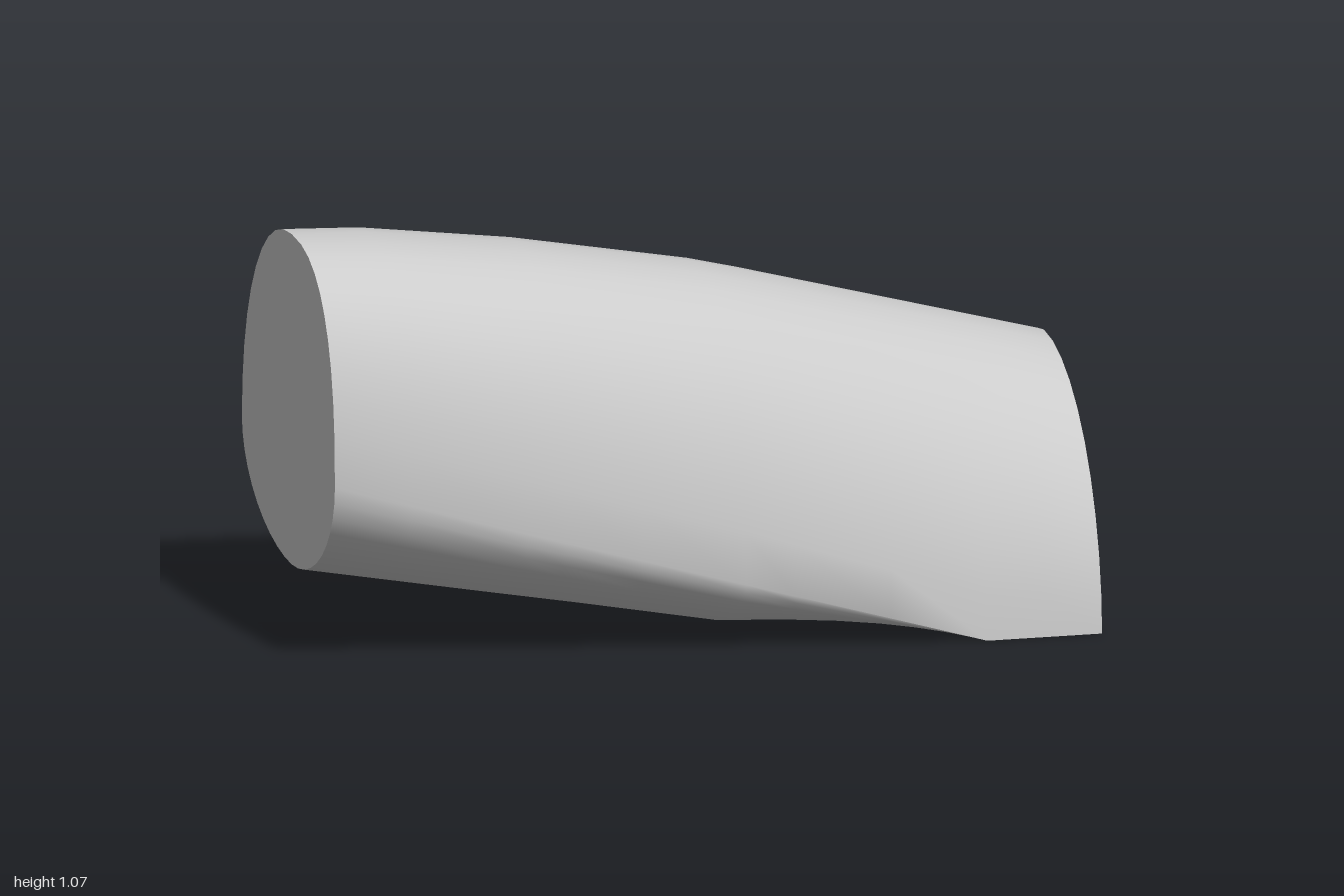
import * as THREE from 'three';
import { toCreasedNormals } from 'three/addons/utils/BufferGeometryUtils.js';

// Piecewise linear curve through [x, value] pairs
function along(points) {
  return (x) => {
    for (let i = 1; i < points.length; i++) {
      const [x0, v0] = points[i - 1];
      const [x1, v1] = points[i];
      if (x <= x1) return v0 + ((v1 - v0) * (x - x0)) / (x1 - x0);
    }
    return points[points.length - 1][1];
  };
}

// Outline curves along the length
const topY = along([[-1, 1.065], [-0.8, 1.055], [-0.4, 1.0], [0.1, 0.905], [1, 0.66]]);
const bottomY = along([[-1, 0.2], [0.07, 0], [1, 0]]);
const topZ = along([[-1, 0.03], [1, -0.04]]);
const front = {
  z: along([[-1, 0.44], [-0.5, 0.475], [1, 0.51]]),
  ridgeY: along([[-1, 0.5], [0.7, 0], [1, 0]]),
  power: along([[-1, 2.5], [1, 1.95]]),
};
const back = {
  z: along([[-1, -0.44], [0.2, -0.51], [1, -0.47]]),
  ridgeY: along([[-1, 0.47], [0.1, 0.22], [1, 0]]),
  power: along([[-1, 2.1], [1, 1.8]]),
};
const lowerPower = along([[-1, 1.9], [1, 1.7]]);

const SIDES = 40;

// Cross-section from the front ridge over the top, to the back and underneath
function section(x) {
  const ring = [];
  for (let i = 0; i < SIDES; i++) {
    const a = (i / SIDES) * Math.PI * 2;
    const c = Math.cos(a);
    const s = Math.sin(a);
    const side = c >= 0 ? front : back;
    const upper = s >= 0;
    const n = upper ? side.power(x) : lowerPower(x);
    const across = Math.pow(Math.abs(c), 2 / n);
    const rise = Math.pow(Math.abs(s), 2 / n);
    const ridge = side.ridgeY(x);
    const z = topZ(x) + (side.z(x) - topZ(x)) * across;
    const y = ridge + ((upper ? topY(x) : bottomY(x)) - ridge) * rise;
    ring.push([x, y, z]);
  }
  return ring;
}

export function createModel() {
  const group = new THREE.Group();
  group.name = 'archedBlock';
  const stations = [-1, -0.8, -0.5, -0.4, -0.2, 0.07, 0.2, 0.45, 0.7, 0.85, 1];
  const positions = stations.flatMap((x) => section(x).flat());
  const index = [];

  // Skin between neighbouring sections
  for (let s = 0; s < stations.length - 1; s++) {
    for (let i = 0; i < SIDES; i++) {
      const j = (i + 1) % SIDES;
      const a = s * SIDES + i;
      const b = s * SIDES + j;
      index.push(a, a + SIDES, b, b, a + SIDES, b + SIDES);
    }
  }

  // Flat end caps
  const last = (stations.length - 1) * SIDES;
  const center = stations.length * SIDES;
  positions.push(-1, 0.6, 0, 1, 0.3, 0);
  for (let i = 0; i < SIDES; i++) {
    const j = (i + 1) % SIDES;
    index.push(center, i, j);
    index.push(center + 1, last + j, last + i);
  }

  const geometry = new THREE.BufferGeometry();
  geometry.setAttribute('position', new THREE.Float32BufferAttribute(positions, 3));
  geometry.setIndex(index);
  const body = new THREE.Mesh(
    toCreasedNormals(geometry, Math.PI / 3),
    new THREE.MeshStandardMaterial({ color: 0xcccccc, side: THREE.DoubleSide })
  );
  body.name = 'body';
  group.add(body);
  return group;
}
